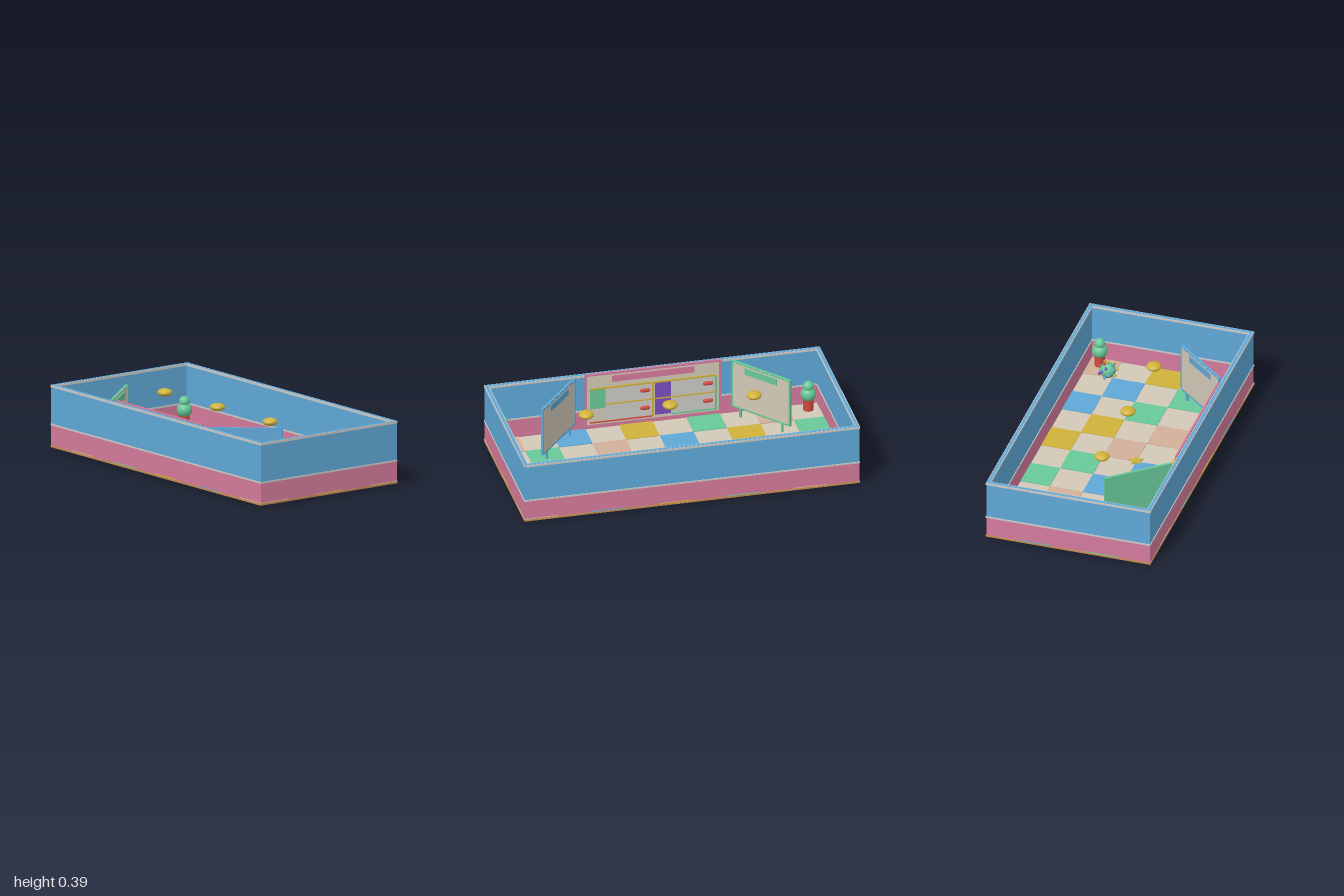
import * as THREE from 'three';

const mat = (name, color) => {
  const m = new THREE.MeshStandardMaterial({ color });
  m.name = name;
  return m;
};

export function createModel() {
  const M = {
    blue: mat('blue', 0x5fa8d8), pink: mat('pink', 0xd47a9c), beige: mat('beige', 0xd2c8b6),
    green: mat('green', 0x68c898), yellow: mat('yellow', 0xd0b23a), tan: mat('tan', 0xd2b098),
    orange: mat('orange', 0xc48c50), red: mat('red', 0xd04a40), purple: mat('purple', 0x7a50c0),
    grey: mat('trim grey', 0xcccac6),
  };
  const root = new THREE.Group();
  const add = (parent, name, geo, m, x = 0, y = 0, z = 0) => {
    const mesh = new THREE.Mesh(geo, m);
    mesh.name = name;
    mesh.position.set(x, y, z);
    parent.add(mesh);
    return mesh;
  };
  const box = (parent, name, m, w, h, d, x, y, z) =>
    add(parent, name, new THREE.BoxGeometry(w, h, d), m, x, y, z);
  const group = (name, parent = root) => {
    const g = new THREE.Group();
    g.name = name;
    parent.add(g);
    return g;
  };

  // Rectangular ring between two half-sizes, from y0 to y1
  const ring = (name, m, outX, outZ, t, y0, y1) => {
    const rect = (p, a, b) => p.moveTo(-a, -b).lineTo(a, -b).lineTo(a, b).lineTo(-a, b).closePath();
    const s = rect(new THREE.Shape(), outX, outZ);
    s.holes.push(rect(new THREE.Path(), outX - t, outZ - t));
    const geo = new THREE.ExtrudeGeometry(s, { depth: y1 - y0, bevelEnabled: false });
    geo.rotateX(-Math.PI / 2);
    add(root, name, geo, m, 0, y0, 0);
  };

  // Floor slab and chequered tiles
  box(root, 'floor', M.beige, 1.99, 0.012, 0.99, 0, 0.016, 0);
  const tiles = group('floorTiles');
  const tileMats = [M.tan, M.green, M.yellow, M.blue];
  for (let r = 0; r < 5; r++)
    for (let c = (r + 1) % 2; c < 10; c += 2) {
      const i = (Math.floor(c / 2) - r + 8) % 4;
      box(tiles, 'tile', tileMats[i], 0.199, 0.004, 0.199, -0.9 + c * 0.2, 0.024, -0.4 + r * 0.2);
    }

  // Walls with trims
  ring('lowerWall', M.pink, 0.996, 0.496, 0.018, 0.02, 0.145);
  ring('upperWall', M.blue, 0.996, 0.496, 0.018, 0.145, 0.38);
  ring('skirting', M.orange, 1, 0.5, 0.005, 0.01, 0.021);
  for (const [y0, y1] of [[0.14, 0.149], [0.366, 0.379]]) {
    ring('outerTrim', M.grey, 1, 0.5, 0.004, y0, y1);
    ring('innerTrim', M.grey, 0.978, 0.478, 0.004, y0, y1);
  }

  // Corner posts: red foot and two stacked balls
  for (const x of [-0.91, 0.91])
    for (const z of [-0.41, 0.41]) {
      const post = group('cornerPost');
      post.position.set(x, 0, z);
      add(post, 'postFoot', new THREE.CylinderGeometry(0.03, 0.03, 0.085, 20), M.red, 0, 0.05, 0);
      add(post, 'lowerBall', new THREE.SphereGeometry(0.045, 24, 16), M.green, 0, 0.125, 0);
      add(post, 'upperBall', new THREE.SphereGeometry(0.032, 24, 16), M.green, 0, 0.175, 0);
    }

  // Flattened hanging lamps
  for (const x of [-0.5, 0, 0.5])
    add(root, 'lamp', new THREE.SphereGeometry(0.044, 24, 16), M.yellow, x, 0.361, 0.048).scale.y = 0.52;

  // Star on the floor
  const star = new THREE.Shape();
  for (let i = 0; i < 10; i++) {
    const a = Math.PI / 2 + i * Math.PI / 5, r = i % 2 ? 0.021 : 0.046;
    star[i ? 'lineTo' : 'moveTo'](r * Math.cos(a), r * Math.sin(a));
  }
  const starGeo = new THREE.ExtrudeGeometry(star, { depth: 0.008, bevelEnabled: false });
  starGeo.rotateX(-Math.PI / 2);
  add(root, 'floorStar', starGeo, M.yellow, 0, 0.026, 0.097);

  // Spiky ball with coloured knobs
  const spiky = group('spikyBall');
  spiky.position.set(0.82, 0.062, -0.333);
  add(spiky, 'core', new THREE.SphereGeometry(0.047, 24, 16), M.green);
  const knobMats = [M.red, M.yellow, M.purple, M.orange, M.blue];
  const knobs = 22;
  for (let i = 0; i < knobs; i++) {
    const y = -1 + 2 * i / (knobs - 1), r = Math.sqrt(Math.max(0, 1 - y * y)), a = i * 2.4;
    add(spiky, 'knob', new THREE.SphereGeometry(0.01, 10, 8), knobMats[i % 5],
      0.052 * r * Math.cos(a), 0.052 * y, 0.052 * r * Math.sin(a));
  }

  // Two angled side screens, plain outside and framed inside
  for (const s of [-1, 1]) {
    const m = s > 0 ? M.blue : M.green;
    const g = group(s > 0 ? 'leftScreen' : 'rightScreen');
    g.position.set(s * 0.605, 0, 0.3);
    g.rotation.y = s * 0.87;
    box(g, 'screenBack', m, 0.42, 0.302, 0.008, 0, 0.227, 0.002);
    box(g, 'screenFace', M.beige, 0.4, 0.282, 0.004, 0, 0.227, -0.004);
    for (const k of [-1, 1]) {
      box(g, 'frameSide', m, 0.01, 0.302, 0.016, k * 0.205, 0.227, 0);
      box(g, 'frameRail', m, 0.42, 0.01, 0.016, 0, 0.227 + k * 0.146, 0);
      add(g, 'screenLeg', new THREE.CylinderGeometry(0.008, 0.008, 0.075, 12), m, k * 0.15, 0.044, 0);
    }
    box(g, 'titleBar', m, 0.23, 0.04, 0.005, 0, 0.337, -0.0075);
    for (let i = 0; i < 7; i++)
      add(g, 'stud', new THREE.SphereGeometry(0.004, 8, 6), M.grey, -0.18 + i * 0.06, 0.372, -0.008);
  }

  // Front display board, detailed on its inner side
  const board = group('displayBoard');
  board.position.z = 0.468;
  box(board, 'boardBack', M.pink, 0.81, 0.342, 0.006, 0, 0.215, 0.002);
  box(board, 'boardFace', M.beige, 0.785, 0.32, 0.004, 0, 0.215, -0.002);
  for (const k of [-1, 1]) {
    box(board, 'boardSide', M.pink, 0.012, 0.342, 0.012, k * 0.4, 0.215, 0);
    box(board, 'boardRail', M.pink, 0.81, 0.012, 0.012, 0, 0.215 + k * 0.166, 0);
  }
  box(board, 'boardTitle', M.pink, 0.49, 0.04, 0.006, 0, 0.345, -0.006);
  const plate = (name, m, x0, x1, y0, y1, d = 0.004) =>
    box(board, name, m, x1 - x0, y1 - y0, d, (x0 + x1) / 2, (y0 + y1) / 2, -0.004 - d / 2);
  plate('greenPanel', M.green, 0.285, 0.375, 0.16, 0.285);
  plate('leftPane', M.grey, 0.01, 0.285, 0.075, 0.285, 0.003);
  plate('purplePanel', M.purple, -0.105, -0.01, 0.075, 0.285);
  plate('rightPane', M.grey, -0.365, -0.105, 0.075, 0.285, 0.003);
  plate('topRail', M.yellow, -0.375, 0.375, 0.285, 0.295, 0.006);
  plate('middleRail', M.yellow, -0.375, 0.285, 0.178, 0.186, 0.006);
  plate('centrePost', M.yellow, -0.004, 0.008, 0.07, 0.285, 0.006);
  plate('lowerRail', M.red, 0.008, 0.375, 0.066, 0.073, 0.006);
  plate('greenSill', M.green, -0.375, -0.11, 0.066, 0.074, 0.006);
  plate('greenEdge', M.green, -0.378, -0.368, 0.066, 0.285, 0.006);
  for (const x of [0.05, -0.325])
    for (const y of [0.13, 0.245]) {
      const c = add(board, 'redCapsule', new THREE.CapsuleGeometry(0.012, 0.035, 4, 10), M.red, x, y, -0.01);
      c.rotation.z = Math.PI / 2;
    }
  return root;
}
